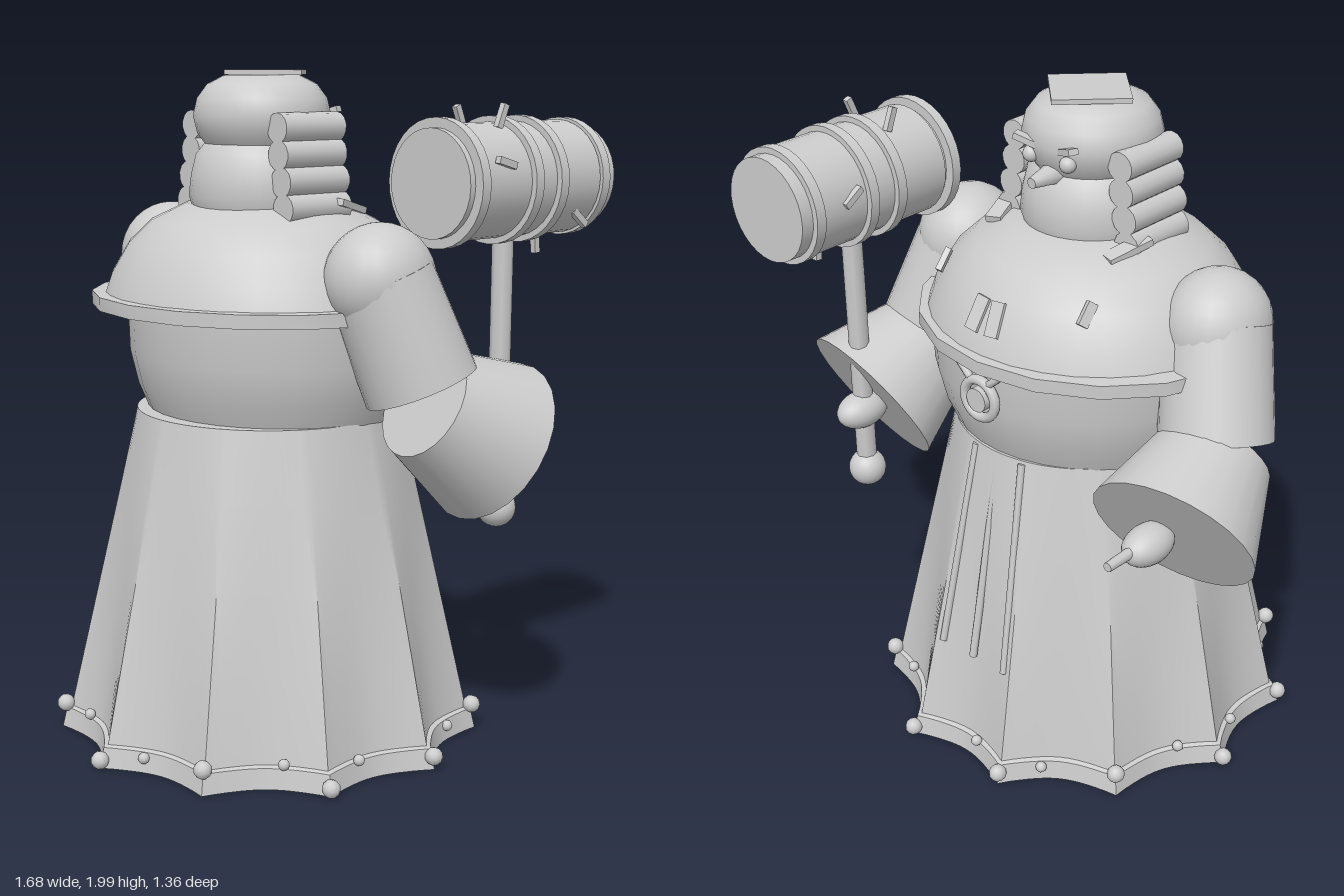
import * as THREE from 'three';
import { toCreasedNormals } from 'three/addons/utils/BufferGeometryUtils.js';

const grey = new THREE.MeshStandardMaterial({ color: 0xcccccc });
grey.name = 'stone grey';
const V = (x, y, z) => new THREE.Vector3(x, y, z);

export function createModel() {
  const model = new THREE.Group();
  model.name = 'robedJudge';

  const add = (name, geo, x = 0, y = 0, z = 0, parent = model) => {
    const m = new THREE.Mesh(geo, grey);
    m.name = name;
    m.position.set(x, y, z);
    parent.add(m);
    return m;
  };
  const lathe = (name, pts, x, z, scaleZ = 1, sides = 32) => {
    const geo = new THREE.LatheGeometry(pts.map(p => new THREE.Vector2(...p)), sides);
    const m = add(name, toCreasedNormals(geo, 0.7), x, 0, z);
    m.scale.z = scaleZ;
    return m;
  };
  // Tapered rod running from a to b
  const rod = (name, a, b, ra, rb, sides = 24) => {
    const d = b.clone().sub(a);
    const m = add(name, new THREE.CylinderGeometry(rb, ra, d.length(), sides));
    m.position.copy(a).addScaledVector(d, 0.5);
    m.quaternion.setFromUnitVectors(V(0, 1, 0), d.normalize());
    return m;
  };
  const ball = (name, x, y, z, r, sx = 1, sy = 1, sz = 1) => {
    const m = add(name, new THREE.SphereGeometry(r, 24, 16), x, y, z);
    m.scale.set(sx, sy, sz);
    return m;
  };

  // Robe skirt: eleven pointed folds that deepen toward the hem
  const fold = a => Math.abs(Math.sin(5.5 * (a - Math.PI / 2)));
  const skirtR = (a, y) => {
    const t = (1.01 - y) / 1;
    return 0.395 + 0.232 * t - 0.075 * Math.pow(t, 1.3) * Math.pow(fold(a), 0.85);
  };
  const N = 132;
  const levels = [[1.01, 0], [0.8, 0], [0.55, 0], [0.3, 0], [0.08, 0], [0.075, 0.014], [0.015, 0.014]];
  const pos = [], idx = [];
  for (const [y, out] of levels) {
    for (let i = 0; i < N; i++) {
      const a = (i / N) * Math.PI * 2, r = skirtR(a, y) + out;
      pos.push(Math.cos(a) * r, y, 0.02 + Math.sin(a) * r);
    }
  }
  for (let j = 0; j < levels.length - 1; j++) {
    for (let i = 0; i < N; i++) {
      const k = (i + 1) % N, a = j * N + i, b = j * N + k, c = a + N, d = b + N;
      idx.push(a, b, c, b, d, c);
    }
  }
  const bottom = pos.length / 3, last = (levels.length - 1) * N;
  pos.push(0, 0.015, 0.02, 0, 1.01, 0.02);
  for (let i = 0; i < N; i++) {
    const k = (i + 1) % N;
    idx.push(bottom, last + i, last + k, bottom + 1, k, i);
  }
  const skirt = new THREE.BufferGeometry();
  skirt.setAttribute('position', new THREE.Float32BufferAttribute(pos, 3));
  skirt.setIndex(idx);
  add('robeSkirt', toCreasedNormals(skirt, 0.6));

  // Hem beads: large on the fold points, small between them
  for (let i = 0; i < 11; i++) {
    const a = Math.PI / 2 + (i * Math.PI * 2) / 11;
    const b = a + (i % 2 ? 0.2 : 0.38);
    const put = (ang, y, r) => {
      const R = skirtR(ang, y) + 0.02;
      add('hemBead', new THREE.IcosahedronGeometry(r, 1), Math.cos(ang) * R, y, 0.02 + Math.sin(ang) * R);
    };
    put(a, [0.04, 0.09, 0.055][i % 3], 0.027);
    put(b, [0.09, 0.06, 0.08][i % 3], 0.017);
  }

  // Placket ridges down the robe on the face side
  for (const x of [-0.09, 0, 0.09]) {
    rod('placketRidge', V(x, 1.0, -0.365), V(x * 1.4, 0.35, -0.5), 0.012, 0.012, 6);
  }

  // Torso, shoulder cape and its rim
  lathe('torso', [[0.395, 1], [0.43, 1.08], [0.455, 1.18], [0.46, 1.33]], 0, 0, 0.92);
  lathe('shoulderCape', [[0.5, 1.34], [0.475, 1.41], [0.42, 1.5], [0.35, 1.565], [0.24, 1.615], [0, 1.63]], -0.02, 0.02, 0.93);
  lathe('capeRim', [[0.44, 1.31], [0.54, 1.31], [0.54, 1.35], [0.48, 1.355]], -0.03, 0.02, 0.91, 18);

  // Jabot tabs and cape slits
  for (const s of [-1, 1]) {
    const tab = add('jabotTab', new THREE.BoxGeometry(0.045, 0.1, 0.02), s * 0.033, 1.45, -0.395);
    tab.rotation.set(0.5, 0, s * 0.1);
    const slit = add('capeSlit', new THREE.BoxGeometry(0.018, 0.07, 0.03), s * 0.272, 1.505, -0.29);
    slit.rotation.set(0.7, s * 0.5, 0);
  }

  // Medallion on the chest
  add('medallionRing', new THREE.TorusGeometry(0.058, 0.015, 8, 24), 0, 1.21, -0.435);
  rod('medallionDisc', V(0, 1.21, -0.41), V(0, 1.21, -0.452), 0.036, 0.036);
  for (const s of [-1, 1]) {
    rod('medallionRibbon', V(s * 0.03, 1.26, -0.435), V(s * 0.1, 1.32, -0.43), 0.012, 0.012, 6);
  }

  // Head in two tiers of wig
  lathe('wigLower', [[0, 1.58], [0.2, 1.6], [0.212, 1.64], [0.205, 1.7], [0.19, 1.76], [0.165, 1.79]], 0, 0.05);
  lathe('wigUpper', [[0, 1.78], [0.165, 1.785], [0.19, 1.82], [0.202, 1.87], [0.19, 1.92], [0.16, 1.96], [0.11, 1.985], [0, 1.988]], 0, 0.045);
  const cap = add('flatCap', new THREE.BoxGeometry(0.222, 0.014, 0.222), 0, 1.993, 0.03);
  cap.rotation.y = Math.PI / 4;

  // Rolled curls on both sides of the face
  for (const s of [-1, 1]) {
    [0.195, 0.2, 0.212, 0.222].forEach((x, i) => {
      const y = 1.84 - i * 0.075;
      rod('wigCurl', V(s * x, y, 0.155), V(s * x, y, -0.07), 0.043, 0.043, 14);
    });
    const flap = add('collarFlap', new THREE.BoxGeometry(0.05, 0.02, 0.14), s * 0.235, 1.615, -0.08);
    flap.rotation.set(-0.25, s * 0.3, 0);
    // Eyes and brows
    ball('eye', s * 0.068, 1.835, -0.137, 0.024);
    const brow = add('brow', new THREE.BoxGeometry(0.085, 0.018, 0.03), s * 0.07, 1.875, -0.145);
    brow.rotation.set(0, s * 0.35, s * 0.3);
  }
  rod('nose', V(0, 1.79, -0.11), V(0, 1.785, -0.21), 0.036, 0.016, 8);

  // Arms, flared sleeves and hands
  for (const s of [-1, 1]) {
    const shoulder = V(s * 0.475, 1.43, 0.02), elbow = V(s * 0.555, 1.13, -0.07);
    ball('shoulder', shoulder.x, shoulder.y, shoulder.z, 0.16, 0.95, 1, 1.03);
    rod('upperArm', shoulder, elbow, 0.155, 0.165);
    rod('sleeve', V(s * 0.56, 1.085, -0.075), V(s * 0.6, 0.95, -0.31), 0.165, 0.245);
    ball('hand', s * 0.57, 0.945, -0.38, 0.06, 1, 0.95, 1.5);
  }
  rod('pointingFinger', V(-0.57, 0.955, -0.42), V(-0.57, 0.955, -0.55), 0.017, 0.014, 8);

  // Mallet handle
  const gx = 0.57, gy = 1.695, gz = -0.375;
  rod('malletHandle', V(gx, 0.74, gz), V(gx, 1.58, gz), 0.031, 0.031, 8);
  ball('handleKnob', gx, 0.735, gz, 0.058);

  // Mallet head with raised bands
  const drum = (name, z0, z1, r) => rod(name, V(gx, gy, z0), V(gx, gy, z1), r, r, 32);
  drum('malletHead', -0.075, -0.675, 0.152);
  drum('malletBody', -0.14, -0.6, 0.163);
  for (const z of [-0.11, -0.325, -0.43, -0.62]) {
    drum('malletBand', z + 0.016, z - 0.016, z === -0.62 ? 0.17 : 0.18);
  }

  // Splinters standing off the mallet head
  const splinters = [
    [-0.08, 0.175, -0.27, 0.4], [0.06, 0.18, -0.29, -0.4], [0.165, 0.06, -0.2, 1.3],
    [0.13, -0.11, -0.55, 0.9], [0.02, -0.18, -0.49, 0.1], [-0.165, 0.03, -0.5, 1.0],
  ];
  for (const [x, y, z, tilt] of splinters) {
    add('splinter', new THREE.BoxGeometry(0.018, 0.07, 0.02), gx + x, gy + y, z).rotation.x = tilt;
  }
  return model;
}
